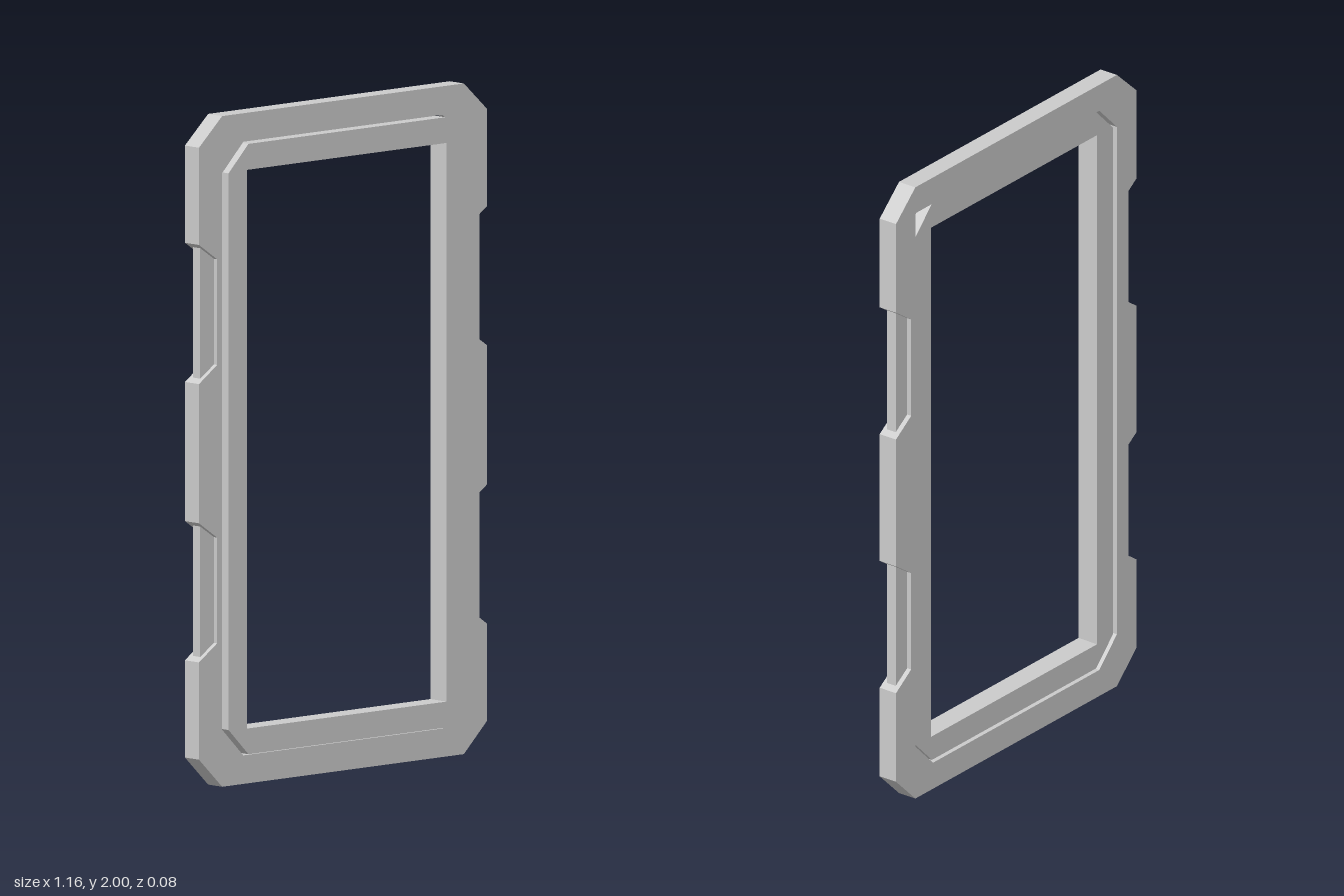
import * as THREE from 'three';

const material = new THREE.MeshStandardMaterial({ color: 0xcccccc, flatShading: true });
const MID = 1; // mid height of the frame

// Rectangle with cut corners; corners listed in `square` (0 = top +x) stay sharp
function cutRect(hx, hy, cx, cy, square = []) {
  const pts = [];
  [[1, 1], [-1, 1], [-1, -1], [1, -1]].forEach(([sx, sy], i) => {
    if (square.includes(i)) {
      pts.push([sx * hx, MID + sy * hy]);
      return;
    }
    const pair = [[sx * hx, MID + sy * (hy - cy)], [sx * (hx - cx), MID + sy * hy]];
    pts.push(...(sx * sy > 0 ? pair : pair.reverse()));
  });
  return pts.map(([x, y]) => new THREE.Vector2(x, y));
}

// Side grip notches, as y values from bottom to top: rim, floor, floor, rim
const notches = [[0.38, 0.43, 0.745, 0.795], [1.21, 1.26, 1.575, 1.625]];
const RIM = 0.578, FLOOR = 0.505;

function outerOutline() {
  const side = [[0.485, 0], [RIM, 0.09]];
  for (const [a, b, c, d] of notches) side.push([RIM, a], [FLOOR, b], [FLOOR, c], [RIM, d]);
  side.push([RIM, 1.915], [0.485, 2]);
  const mirrored = side.map(([x, y]) => [-x, y]).reverse();
  return [...side, ...mirrored].map(([x, y]) => new THREE.Vector2(x, y));
}

function plate(name, outline, hole, z0, z1) {
  const shape = new THREE.Shape(outline);
  if (hole) shape.holes.push(new THREE.Path(hole));
  const geometry = new THREE.ExtrudeGeometry(shape, { depth: z1 - z0, bevelEnabled: false });
  geometry.translate(0, 0, z0);
  const mesh = new THREE.Mesh(geometry, material);
  mesh.name = name;
  return mesh;
}

export function createModel() {
  const group = new THREE.Group();
  group.name = 'panelFrame';

  // Outer frame: the back layer has one open pocket at the top corner
  const outer = new THREE.Group();
  outer.name = 'outerFrame';
  outer.add(
    plate('outerFrameFront', outerOutline(), cutRect(0.485, 0.915, 0.085, 0.085), 0, 0.022),
    plate('outerFrameBack', outerOutline(), cutRect(0.485, 0.915, 0.085, 0.085, [0]), -0.039, 0),
  );
  group.add(outer);

  // Inner frame, standing proud of the front
  group.add(plate('innerFrame', cutRect(0.475, 0.91, 0.08, 0.08),
    cutRect(0.4, 0.833, 0, 0, [0, 1, 2, 3]), -0.031, 0.039));

  // Thin bars set in the side notches
  for (const s of [1, -1]) {
    for (const [a, b, c, d] of notches) {
      const pts = [[FLOOR - 0.005, b], [FLOOR, b], [0.56, a + 0.013], [0.56, d - 0.013], [FLOOR, c], [FLOOR - 0.005, c]]
        .map(([x, y]) => new THREE.Vector2(s * x, y));
      group.add(plate('gripBar', pts, null, -0.024, 0.008));
    }
  }
  return group;
}
